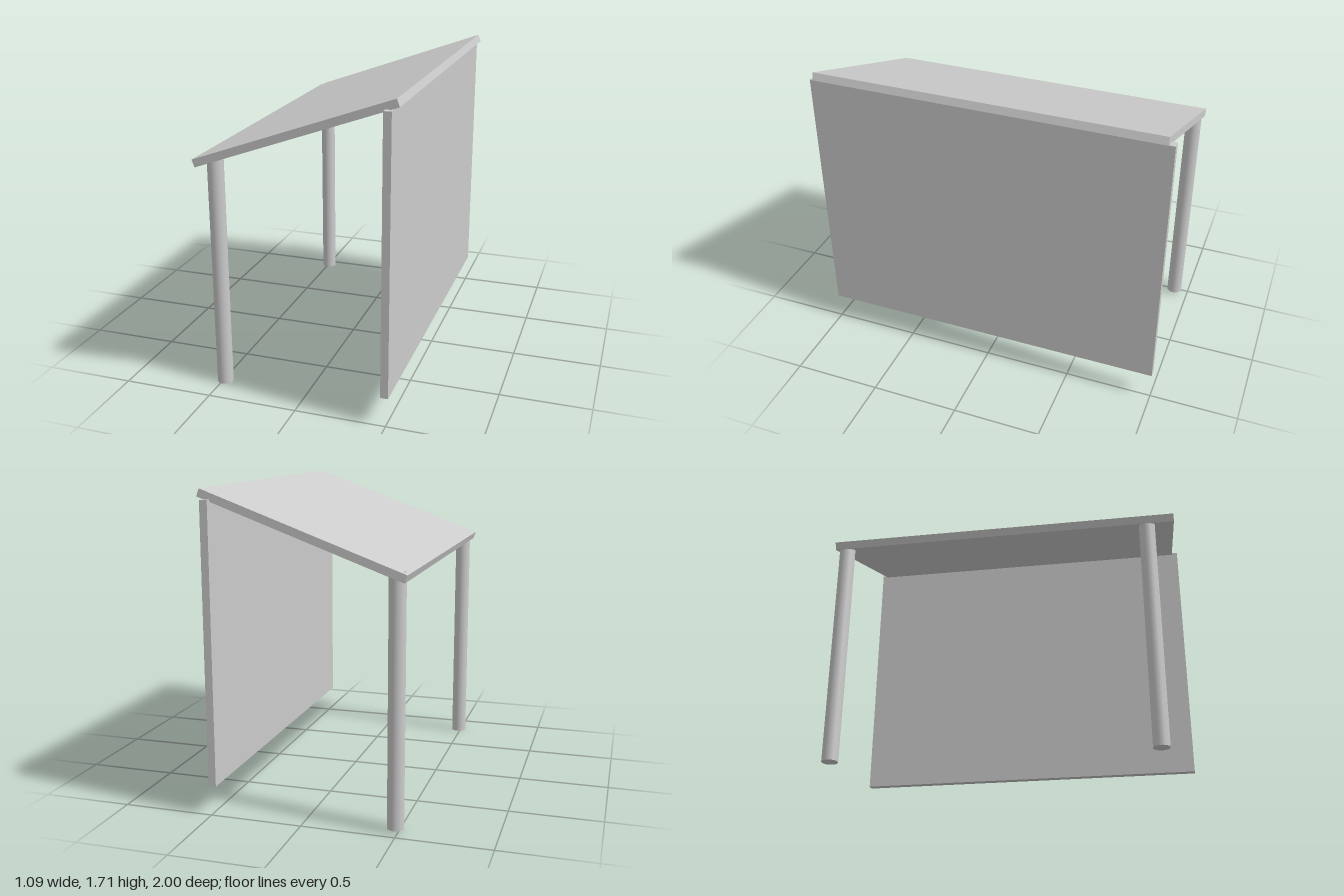
import * as THREE from 'three';

export function createModel() {
  const group = new THREE.Group();
  const material = new THREE.MeshStandardMaterial({ color: 0xcccccc });

  const add = (name, geometry, x, y, z) => {
    const mesh = new THREE.Mesh(geometry, material);
    mesh.name = name;
    mesh.position.set(x, y, z);
    group.add(mesh);
    return mesh;
  };

  // Upright panel along the tall side
  add('wallPanel', new THREE.BoxGeometry(0.042, 1.497, 2), 0.491, 0.9115, 0);

  // Sloping roof slab
  const roof = add('roof', new THREE.BoxGeometry(1.139, 0.043, 1.936), -0.002, 1.5, -0.002);
  roof.rotation.z = THREE.MathUtils.degToRad(20);

  // Two round posts under the low edge; the back one sits slightly higher
  const postHeight = 1.322;
  const post = new THREE.CylinderGeometry(0.044, 0.044, postHeight, 32);
  add('frontPost', post, -0.487, postHeight / 2, 0.817);
  add('backPost', post, -0.483, 0.015 + postHeight / 2, -0.915);

  return group;
}
